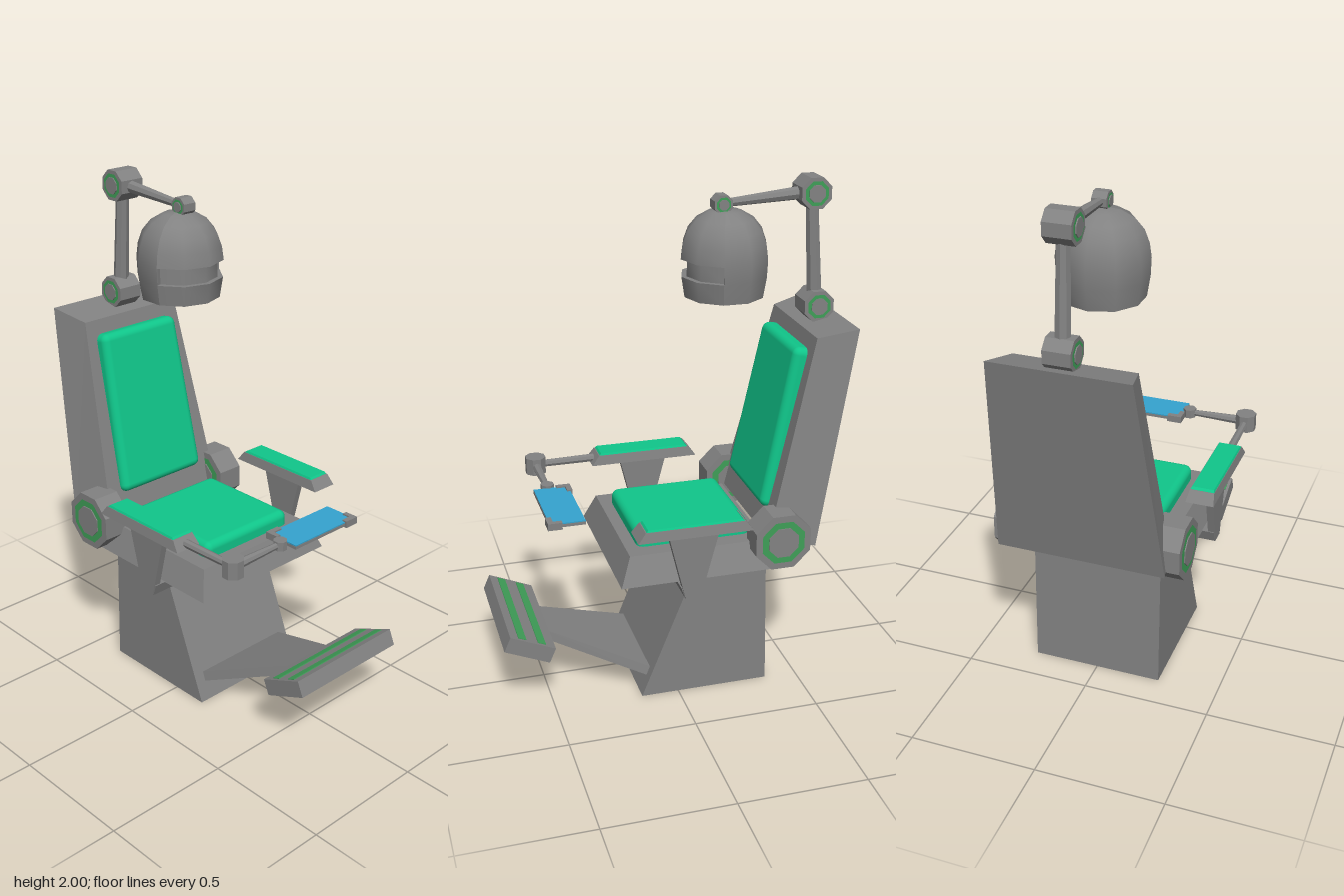
import * as THREE from 'three';
import { toCreasedNormals } from 'three/addons/utils/BufferGeometryUtils.js';
import { RoundedBoxGeometry } from 'three/addons/geometries/RoundedBoxGeometry.js';

const material = (name, color) => {
  const m = new THREE.MeshStandardMaterial({ color });
  m.name = name;
  return m;
};

// Four corners of a horizontal rectangle, counter-clockwise from above
const rect = (x0, x1, y, z0, z1) => [[x1, y, z1], [x1, y, z0], [x0, y, z0], [x0, y, z1]];

// Flat-faced solid through a list of four-cornered cross-sections
function loft(...rings) {
  const pos = [];
  const quad = (a, b, c, d) => pos.push(...a, ...b, ...c, ...a, ...c, ...d);
  for (let k = 0; k < rings.length - 1; k++) {
    for (let i = 0; i < 4; i++) {
      const j = (i + 1) % 4;
      quad(rings[k][i], rings[k][j], rings[k + 1][j], rings[k + 1][i]);
    }
  }
  quad(...[...rings[0]].reverse());
  quad(...rings[rings.length - 1]);
  const g = new THREE.BufferGeometry();
  g.setAttribute('position', new THREE.Float32BufferAttribute(pos, 3));
  g.computeVertexNormals();
  return g;
}

function flat(g) {
  const n = g.toNonIndexed();
  n.computeVertexNormals();
  return n;
}

export function createModel() {
  const root = new THREE.Group();
  root.name = 'recliningChair';
  const gray = material('grayMetal', 0x828282);
  const green = material('greenCushion', 0x10c68a);
  const trim = material('greenTrim', 0x3f9f58);
  const blue = material('blueScreen', 0x35a3cf);

  const add = (name, geo, mat, x = 0, y = 0, z = 0, parent = root) => {
    const m = new THREE.Mesh(geo, mat);
    m.name = name;
    m.position.set(x, y, z);
    parent.add(m);
    return m;
  };

  // Tapered bar between two points
  const rod = (name, a, b, r0, r1) => {
    const va = new THREE.Vector3(...a), vb = new THREE.Vector3(...b);
    const dir = vb.clone().sub(va);
    const g = flat(new THREE.CylinderGeometry(r1, r0, dir.length(), 8));
    const m = add(name, g, gray, ...va.add(vb).multiplyScalar(0.5).toArray());
    m.quaternion.setFromUnitVectors(new THREE.Vector3(0, 1, 0), dir.normalize());
  };

  // Octagonal pivot lying along z, with a coloured ring and hub on both ends
  const joint = (name, r, width, x, y, z) => {
    const group = new THREE.Group();
    group.name = name;
    group.position.set(x, y, z);
    root.add(group);
    const drum = (part, rad, len) =>
      add(part, flat(new THREE.CylinderGeometry(rad, rad, len, 8, 1, false, Math.PI / 8)), gray, 0, 0, 0, group)
        .rotation.x = Math.PI / 2;
    drum('drum', r, width);
    drum('hub', r * 0.54, width + 0.012);
    for (const s of [1, -1]) {
      const ring = add('ring', new THREE.RingGeometry(r * 0.5, r * 0.77, 8, 1, Math.PI / 8), trim,
        0, 0, s * (width / 2 + 0.002), group);
      if (s < 0) ring.rotation.y = Math.PI;
    }
  };

  // Pedestal and hollow seat tray
  add('pedestal', loft(rect(-0.37, 0.15, 0, -0.26, 0.26), rect(-0.357, -0.085, 0.585, -0.26, 0.26)), gray);
  add('seatBase', loft(
    rect(-0.35, 0.205, 0.58, -0.285, 0.295), rect(-0.35, 0.205, 0.535, -0.285, 0.295),
    rect(-0.39, 0.245, 0.535, -0.325, 0.335), rect(-0.345, 0.2, 0.645, -0.28, 0.29)), gray);
  add('seatCushion', new RoundedBoxGeometry(0.455, 0.1, 0.44, 3, 0.03), green, -0.075, 0.655, 0.005);

  // Tapered backrest, narrower on its padded side
  add('backrest', loft(
    [[-0.355, 0.645, 0.29], [-0.355, 0.645, -0.285], [-0.535, 0.615, -0.33], [-0.535, 0.615, 0.335]],
    [[-0.545, 1.432, 0.235], [-0.545, 1.432, -0.23], [-0.7, 1.465, -0.265], [-0.7, 1.465, 0.27]]), gray);
  const pad = new RoundedBoxGeometry(0.1, 0.655, 0.4, 3, 0.03);
  const p = pad.attributes.position;
  for (let i = 0; i < p.count; i++) p.setZ(i, p.getZ(i) * (1 - 0.17 * p.getY(i)));
  add('backCushion', pad, green, -0.463, 1.055, 0.005).rotation.z = 0.2;

  // Armrests on a bracket passing under the seat
  add('bracketBar', loft(rect(-0.05, 0.01, 0.49, -0.378, 0.383), rect(-0.066, 0.026, 0.537, -0.378, 0.383)), gray);
  for (const s of [1, -1]) {
    const z = s * 0.372;
    joint(s > 0 ? 'leftHinge' : 'rightHinge', 0.12, 0.112, -0.39, 0.663, s > 0 ? 0.323 : -0.305);
    add('armrestPost', loft(rect(-0.05, 0.01, 0.49, z - 0.014, z + 0.014),
      rect(-0.125, 0.08, 0.775, z - 0.014, z + 0.014)), gray);
    add('armrest', loft(rect(-0.243, 0.205, 0.768, z - 0.055, z + 0.055),
      rect(-0.213, 0.175, 0.808, z - 0.048, z + 0.048)), gray);
    add('armrestPad', loft(rect(-0.21, 0.172, 0.807, z - 0.047, z + 0.047),
      rect(-0.2, 0.165, 0.816, z - 0.043, z + 0.043)), green);
  }

  // Swinging arm with a small screen
  const pivot = (r, h) => flat(new THREE.CylinderGeometry(r, r, h, 8, 1, false, Math.PI / 8));
  rod('screenArmInner', [0.19, 0.785, 0.37], [0.435, 0.785, 0.365], 0.017, 0.015);
  add('screenElbow', pivot(0.043, 0.07), gray, 0.437, 0.785, 0.365);
  rod('screenArmOuter', [0.437, 0.785, 0.365], [0.435, 0.785, 0.12], 0.02, 0.012);
  add('screenPivot', pivot(0.027, 0.036), gray, 0.435, 0.785, 0.12);
  add('screenBack', new THREE.BoxGeometry(0.14, 0.012, 0.325), gray, 0.425, 0.783, -0.0625);
  add('screenFace', new THREE.BoxGeometry(0.138, 0.005, 0.323), blue, 0.425, 0.791, -0.0625);
  for (const s of [1, -1]) {
    const cx = 0.425 - s * 0.066, cz = -0.0625 + s * 0.16;
    add('screenClip', new THREE.BoxGeometry(0.022, 0.028, 0.06), gray, cx, 0.785, cz - s * 0.02);
    add('screenClip', new THREE.BoxGeometry(0.055, 0.028, 0.02), gray, cx + s * 0.017, 0.785, cz);
  }

  // Footrest on a tapered plate
  add('footrestLeg', loft(
    [[0.122, 0.07, 0.215], [0.122, 0.07, -0.22], [0.105, 0.105, -0.22], [0.105, 0.105, 0.215]],
    [[0.53, 0.245, 0.09], [0.53, 0.245, -0.1], [0.515, 0.278, -0.1], [0.515, 0.278, 0.09]]), gray);
  const foot = new THREE.Group();
  foot.name = 'footrest';
  foot.position.set(0.594, 0.289, -0.004);
  foot.rotation.z = 0.41;
  root.add(foot);
  add('footPanel', new THREE.BoxGeometry(0.19, 0.064, 0.52), gray, 0, 0, 0, foot);
  for (const x of [-0.038, 0.044])
    add('footStrip', new THREE.BoxGeometry(0.033, 0.008, 0.495), trim, x, 0.031, 0, foot);

  // Overhead boom
  joint('boomBaseJoint', 0.064, 0.105, -0.617, 1.502, -0.01);
  joint('boomElbow', 0.064, 0.105, -0.587, 1.94, -0.01);
  joint('boomTipJoint', 0.038, 0.056, -0.23, 1.914, -0.012);
  rod('boomUpright', [-0.617, 1.5, -0.01], [-0.587, 1.94, -0.01], 0.031, 0.025);
  rod('boomArm', [-0.587, 1.94, -0.01], [-0.23, 1.914, -0.012], 0.027, 0.015);

  // Hollow helmet with a recessed visor slot facing the chair front
  const inner = [[0, 1.86], [0.08, 1.84], [0.128, 1.76], [0.138, 1.65], [0.137, 1.565], [0.155, 1.565], [0.168, 1.645]];
  const slot = [[0.147, 1.645], [0.147, 1.712]];
  const dome = [[0.171, 1.712], [0.164, 1.765], [0.146, 1.815], [0.112, 1.857], [0.063, 1.886], [0, 1.897]];
  const helmet = new THREE.Group();
  helmet.name = 'helmet';
  helmet.position.set(-0.247, 0, -0.005);
  root.add(helmet);
  const step = Math.PI / 5;
  const shell = (name, pts, segs, start) => add(name, toCreasedNormals(new THREE.LatheGeometry(
    pts.map(([r, y]) => new THREE.Vector2(r, y)), segs, start, segs * step), 0.75), gray, 0, 0, 0, helmet);
  shell('helmetFront', [...inner, ...slot, ...dome], 4, Math.PI / 2 - 2 * step);
  shell('helmetBack', [...inner, ...dome], 6, Math.PI / 2 + 2 * step);
  for (const s of [1, -1]) {
    const a = s * (2 * step + 0.025);
    add('slotEnd', new THREE.BoxGeometry(0.03, 0.067, 0.008), gray,
      0.151 * Math.cos(a), 1.6785, 0.151 * Math.sin(a), helmet).rotation.y = -a;
  }
  return root;
}
